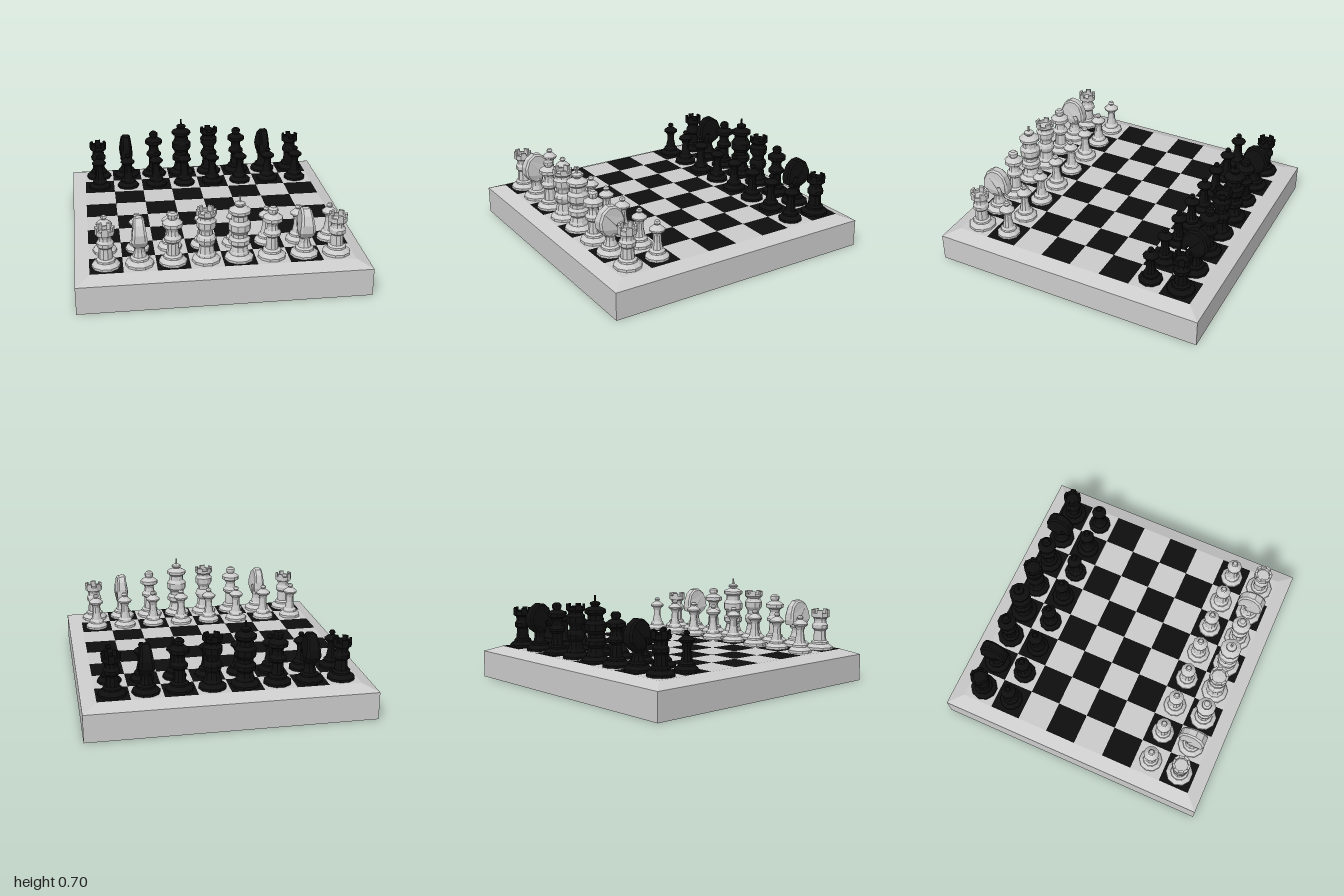
import * as THREE from 'three';

const TOP = 0.235, CELL = 0.225, SIDES = 10;
const light = new THREE.MeshStandardMaterial({ color: 0xcccccc, flatShading: true });
const dark = new THREE.MeshStandardMaterial({ color: 0x0e0e0e, flatShading: true });

const mesh = (name, geometry, material) => {
  const m = new THREE.Mesh(geometry, material);
  m.name = name;
  return m;
};

// Faceted turning from [radius, height] pairs, listed from bottom to top
const turned = (pairs, sides = SIDES) => new THREE.LatheGeometry(
  pairs.map(([r, y]) => new THREE.Vector2(r, y)), sides, Math.PI / sides);

// Shared foot, with radius scaled per piece
const foot = (k = 1) => [[0, 0], [0.097, 0], [0.097, 0.018], [0.08, 0.032], [0.066, 0.042],
  [0.064, 0.055]].map(([r, y]) => [r * k, y]);

const PROFILES = {
  pawn: [...foot(0.86), [0.04, 0.07], [0.03, 0.12], [0.028, 0.165], [0.036, 0.185], [0.055, 0.2],
    [0.055, 0.21], [0.034, 0.228], [0.015, 0.24], [0.023, 0.253], [0.015, 0.268], [0, 0.271]],
  rook: [...foot(), [0.048, 0.066], [0.043, 0.14], [0.058, 0.155], [0.058, 0.18], [0.046, 0.197],
    [0.044, 0.215], [0.05, 0.232], [0.066, 0.24], [0.066, 0.272], [0.048, 0.272], [0.048, 0.25], [0, 0.25]],
  knight: [...foot(), [0.048, 0.066], [0.037, 0.1], [0.037, 0.125], [0.05, 0.145], [0.04, 0.17], [0, 0.175]],
  bishop: [...foot(), [0.045, 0.066], [0.038, 0.15], [0.06, 0.168], [0.06, 0.185], [0.042, 0.205],
    [0.036, 0.235], [0.045, 0.258], [0.069, 0.27], [0.069, 0.295], [0.045, 0.312], [0.028, 0.32],
    [0.036, 0.34], [0.034, 0.355], [0.02, 0.368], [0, 0.37]],
  queen: [...foot(), [0.056, 0.066], [0.048, 0.12], [0.062, 0.14], [0.068, 0.165], [0.06, 0.185],
    [0.046, 0.2], [0.046, 0.225], [0.066, 0.255], [0.068, 0.295], [0.055, 0.31], [0.052, 0.325],
    [0.07, 0.342], [0.07, 0.36], [0.052, 0.36], [0.052, 0.34], [0, 0.345]],
  king: [...foot(1.03), [0.06, 0.066], [0.052, 0.1], [0.074, 0.12], [0.074, 0.15], [0.056, 0.17],
    [0.056, 0.195], [0.076, 0.22], [0.076, 0.265], [0.056, 0.29], [0.054, 0.325], [0.076, 0.342],
    [0.076, 0.362], [0.05, 0.376], [0.025, 0.385], [0.038, 0.4], [0.036, 0.41], [0.012, 0.42], [0, 0.42]],
};
const BODIES = Object.fromEntries(Object.entries(PROFILES).map(([k, p]) => [k, turned(p)]));

// One battlement: every other facet of the rim
function battlementGeometry(inner, outer, height) {
  const a = Math.PI / SIDES;
  const at = (r, t) => new THREE.Vector2(r * Math.sin(t), -r * Math.cos(t));
  const shape = new THREE.Shape([at(inner, -a), at(outer, -a), at(outer, a), at(inner, a)]);
  return new THREE.ExtrudeGeometry(shape, { depth: height, bevelEnabled: false }).rotateX(-Math.PI / 2);
}

function addBattlements(piece, inner, outer, y, height, material) {
  const geometry = battlementGeometry(inner, outer, height);
  for (let i = 0; i < SIDES; i += 2) {
    const m = mesh('battlement', geometry, material);
    m.position.y = y;
    m.rotation.y = (i / SIDES) * Math.PI * 2;
    piece.add(m);
  }
}

// Arched horse head: side outline, chamfered, narrowing to crest and throat
function horseHeadGeometry() {
  const outline = [[-0.025, 0.14], [0.03, 0.14], [0.034, 0.18], [0.018, 0.215], [0.045, 0.225],
    [0.066, 0.18], [0.085, 0.175], [0.09, 0.2], [0.084, 0.25], [0.065, 0.3], [0.03, 0.33],
    [-0.015, 0.335], [-0.06, 0.305], [-0.085, 0.25], [-0.083, 0.2], [-0.06, 0.165]];
  const g = new THREE.ExtrudeGeometry(new THREE.Shape(outline.map(p => new THREE.Vector2(...p))), {
    depth: 0.07, bevelSize: 0.011, bevelThickness: 0.018, bevelSegments: 1,
  }).translate(0, 0, -0.035);
  const p = g.attributes.position;
  for (let i = 0; i < p.count; i++) {
    const y = p.getY(i), f = p.getX(i);
    const taper = y > 0.19 ? 1.05 - (y - 0.19) * 2.6 : 1.05 - (0.19 - y) * 5;
    p.setZ(i, p.getZ(i) * taper * (f > 0 ? 1 - f * 2.5 : 1));
  }
  g.rotateY(Math.PI / 2);
  g.computeVertexNormals();
  return g;
}
const HEAD = horseHeadGeometry();

function makePiece(kind, material) {
  const piece = new THREE.Group();
  piece.name = kind;
  piece.add(mesh(kind + 'Body', BODIES[kind], material));
  if (kind === 'rook') addBattlements(piece, 0.048, 0.066, 0.272, 0.023, material);
  if (kind === 'queen') addBattlements(piece, 0.052, 0.07, 0.36, 0.02, material);
  if (kind === 'knight') piece.add(mesh('horseHead', HEAD, material));
  if (kind === 'king') {
    const spike = mesh('spike', new THREE.CylinderGeometry(0.007, 0.009, 0.045, 6), material);
    spike.position.y = 0.438;
    piece.add(spike);
  }
  return piece;
}

// Two ranks of one side, standing at the +z edge
function makeArmy(name, material) {
  const army = new THREE.Group();
  army.name = name;
  const order = ['rook', 'knight', 'bishop', 'queen', 'king', 'bishop', 'knight', 'rook'];
  order.forEach((kind, i) => {
    const x = (i - 3.5) * CELL;
    const back = makePiece(kind, material), pawn = makePiece('pawn', material);
    back.position.set(x, TOP, 3.5 * CELL);
    pawn.position.set(x, TOP, 2.5 * CELL);
    army.add(back, pawn);
  });
  return army;
}

export function createModel() {
  const model = new THREE.Group();
  model.name = 'chessSet';

  // Square board with sloping rim
  const R = Math.SQRT2;
  model.add(mesh('board', turned([[0, 0], [R, 0], [R, 0.197], [0.9 * R, TOP], [0, TOP]], 4), light));

  // Dark squares
  const squares = new THREE.Group();
  squares.name = 'darkSquares';
  const tile = new THREE.PlaneGeometry(CELL, CELL).rotateX(-Math.PI / 2);
  for (let row = 0; row < 8; row++) {
    for (let col = 0; col < 8; col++) {
      if ((row + col) % 2 === 0) continue;
      const square = mesh('darkSquare', tile, dark);
      square.position.set((col - 3.5) * CELL, TOP + 0.0015, (row - 3.5) * CELL);
      squares.add(square);
    }
  }
  model.add(squares);

  // Both sides, the dark one turned to face the light one
  const darkArmy = makeArmy('darkPieces', dark);
  darkArmy.rotation.y = Math.PI;
  model.add(makeArmy('lightPieces', light), darkArmy);
  return model;
}
